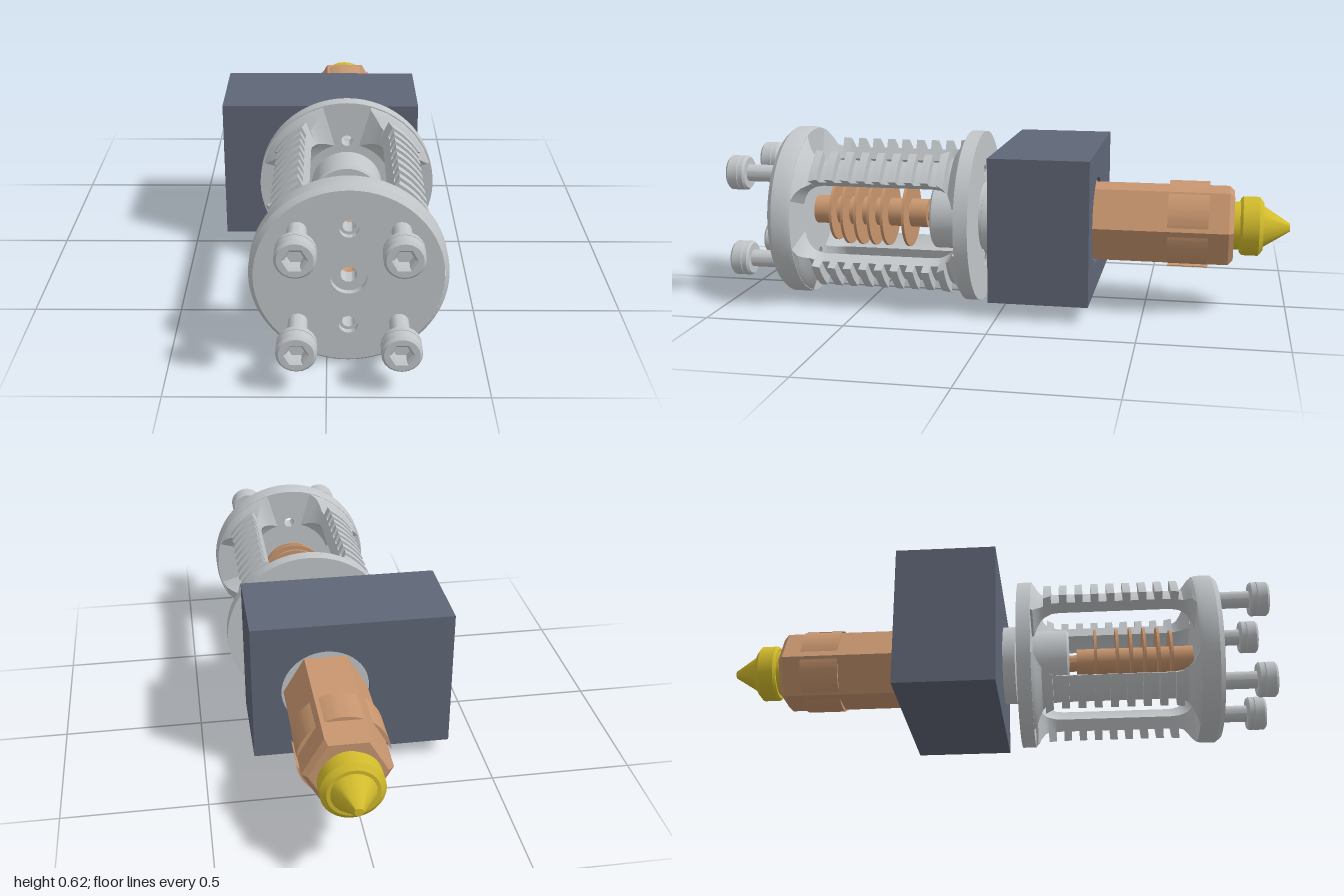
import * as THREE from 'three';
import { toCreasedNormals } from 'three/addons/utils/BufferGeometryUtils.js';

const paint = (name, color) => {
  const m = new THREE.MeshStandardMaterial({ color });
  m.name = name;
  return m;
};

export function createModel() {
  const silver = paint('silver', 0xc2c6c9);
  const slate = paint('slate', 0x5f6676);
  const copper = paint('copper', 0xc8966f);
  const brass = paint('brass', 0xd2bb2c);

  const model = new THREE.Group();
  model.name = 'hotend';
  // All turned parts share this axis along z
  const axis = new THREE.Group();
  axis.name = 'axialParts';
  axis.position.set(0.068, 0.313, 0);
  model.add(axis);

  const add = (name, geo, mat, parent = axis) => {
    const mesh = new THREE.Mesh(toCreasedNormals(geo, 0.55), mat);
    mesh.name = name;
    parent.add(mesh);
    return mesh;
  };
  // Turned part from [radius, z] points, running forward on the outside
  const turned = (name, pts, mat, sides = 48, parent = axis, start = 0) => {
    const geo = new THREE.LatheGeometry(pts.map(([r, z]) => new THREE.Vector2(r, z)), sides, start);
    return add(name, geo.rotateX(Math.PI / 2), mat, parent);
  };
  const circle = (r, x = 0, y = 0, type = THREE.Shape) => new type().absarc(x, y, r, 0, Math.PI * 2);
  // Round plate with [radius, y] holes
  const plate = (name, r, z0, z1, holes) => {
    const shape = circle(r);
    shape.holes = holes.map(([hr, y]) => circle(hr, 0, y, THREE.Path));
    const geo = new THREE.ExtrudeGeometry(shape, { depth: z1 - z0, bevelEnabled: false, curveSegments: 32 });
    return add(name, geo.translate(0, 0, z0), silver);
  };

  // Front plate with stepped holes and a chamfered rim
  plate('frontPlate', 0.295, 0.73, 0.795, [[0.026, 0], [0.02, 0.168], [0.02, -0.168]]);
  plate('frontPlateFace', 0.295, 0.795, 0.815, [[0.057, 0], [0.03, 0.168], [0.03, -0.168]]);
  turned('frontPlateRim', [[0.28, 0.73], [0.305, 0.73], [0.31, 0.745], [0.31, 0.797], [0.295, 0.815]], silver, 72);

  // Rear flange and the cup that holds the heat break
  plate('rearFlange', 0.31, 0.09, 0.14, [[0.026, 0], [0.02, 0.168], [0.02, -0.168]]);
  turned('rearCup', [[0.026, 0.1], [0.125, 0.1], [0.125, 0.265], [0.118, 0.272], [0.026, 0.272], [0.026, 0.1]], silver);
  turned('rearNeck', [[0.026, 0.03], [0.145, 0.03], [0.145, 0.075], [0.125, 0.08], [0.125, 0.095],
    [0.026, 0.095], [0.026, 0.03]], silver);

  // Four toothed posts, lofted along z; [z, outer radius] stations
  const stations = [[0.135, 0.31], [0.148, 0.3], [0.16, 0.28], [0.175, 0.262]];
  for (let k = 0; k < 9; k++) {
    const z = 0.2 + 0.0575 * k;
    stations.push([z - 0.014, 0.26], [z - 0.014, 0.295], [z + 0.014, 0.295], [z + 0.014, 0.26]);
  }
  stations.push([0.69, 0.262], [0.705, 0.278], [0.718, 0.295], [0.732, 0.305]);
  const postGeometry = () => {
    const n = 6, ring = 2 * n, pos = [], index = [];
    stations.forEach(([z, rOut], i) => {
      // Rounded window ends
      const d = THREE.MathUtils.clamp(Math.min(z - 0.155, 0.725 - z), 0, 0.08);
      const close = 0.08 - Math.sqrt(0.08 ** 2 - (0.08 - d) ** 2);
      const w = 0.125 - close;
      const rIn = 0.215 - 0.7 * close;
      const aOut = Math.asin((w + 0.035 * (rOut - 0.215) / 0.08) / rOut);
      const aIn = Math.asin(w / rIn);
      for (let j = 0; j < ring; j++) {
        const outer = j < n;
        const t = outer ? j / (n - 1) : 1 - (j - n) / (n - 1);
        const a = THREE.MathUtils.lerp(outer ? aOut : aIn, Math.PI / 2 - (outer ? aOut : aIn), t);
        const r = outer ? rOut : rIn;
        pos.push(r * Math.cos(a), r * Math.sin(a), z);
        if (i === 0) continue;
        const q = (j + 1) % ring, lo = (i - 1) * ring, hi = i * ring;
        index.push(lo + j, lo + q, hi + q, lo + j, hi + q, hi + j);
      }
    });
    const geo = new THREE.BufferGeometry();
    geo.setAttribute('position', new THREE.Float32BufferAttribute(pos, 3));
    geo.setIndex(index);
    return geo;
  };
  for (let k = 0; k < 4; k++) add('coolingPost', postGeometry(), silver).rotation.z = k * Math.PI / 2;

  // Heat break tube with thin fins
  turned('heatBreak', [[0.026, 0.265], [0.031, 0.265], [0.031, 0.3], [0.052, 0.3], [0.052, 0.735],
    [0.026, 0.735], [0.026, 0.265]], copper, 32);
  [0.37, 0.45, 0.5, 0.55, 0.6, 0.648].forEach((z, i) => {
    const r = i === 5 ? 0.112 : 0.125;
    turned('heatBreakFin', [[0.05, z - 0.005], [r, z - 0.005], [r, z + 0.005], [0.05, z + 0.005]], copper);
  });

  // Four socket-head screws
  for (const sx of [-1, 1]) for (const sy of [-1, 1]) {
    const screw = new THREE.Group();
    screw.name = 'screw';
    screw.position.set(sx * 0.158, sy * 0.16, 0);
    axis.add(screw);
    turned('screwShaft', [[0, 0.76], [0.031, 0.76], [0.031, 0.94], [0, 0.94]], silver, 20, screw);
    turned('screwHeadBase', [[0, 0.93], [0.056, 0.93], [0.0625, 0.937], [0.0625, 0.955], [0, 0.955]], silver, 20, screw);
    const head = circle(0.0545);
    const socket = new THREE.Path();
    for (let k = 0; k < 6; k++) {
      const a = k * Math.PI / 3;
      socket[k ? 'lineTo' : 'moveTo'](0.039 * Math.cos(a), 0.039 * Math.sin(a));
    }
    socket.closePath();
    head.holes.push(socket);
    const geo = new THREE.ExtrudeGeometry(head, {
      depth: 0.034, bevelThickness: 0.008, bevelSize: 0.008, bevelSegments: 1, curveSegments: 10,
    });
    add('screwHead', geo.translate(0, 0, 0.958), silver, screw);
  }

  // Heater block with a shallow round recess in its back
  const block = add('heaterBlock', new THREE.BoxGeometry(0.705, 0.51, 0.33), slate, model);
  block.position.set(-0.0275, 0.314, -0.135);
  const back = new THREE.Shape();
  back.moveTo(-0.38, 0.059).lineTo(0.325, 0.059).lineTo(0.325, 0.569).lineTo(-0.38, 0.569).closePath();
  back.holes.push(circle(0.155, 0.068, 0.313, THREE.Path));
  const backGeo = new THREE.ExtrudeGeometry(back, { depth: 0.022, bevelEnabled: false, curveSegments: 24 });
  add('heaterBlockBack', backGeo.translate(0, 0, -0.322), slate, model);
  turned('recessDisc', [[0, -0.312], [0.154, -0.312], [0.154, -0.302], [0, -0.302]], silver);

  // Hexagonal sleeve with rounded pads on its faces
  turned('hexSleeve', [[0, -0.807], [0.128, -0.807], [0.147, -0.79], [0.147, -0.305], [0, -0.305]],
    copper, 6, axis, Math.PI / 2);
  for (let k = 0; k < 6; k++) {
    const mid = (k + 0.5) * Math.PI / 3;
    const pad = new THREE.Shape().moveTo(0, 0).absarc(0, 0, 0.153, mid - 0.42, mid + 0.42).closePath();
    const geo = new THREE.ExtrudeGeometry(pad, { depth: 0.14, bevelEnabled: false, curveSegments: 8 });
    add('sleevePad', geo.translate(0, 0, -0.72), copper);
  }

  // Nozzle: collar, body and conical tip
  turned('nozzleCollar', [[0, -0.84], [0.085, -0.84], [0.085, -0.8], [0, -0.8]], brass);
  turned('nozzleBody', [[0, -0.908], [0.085, -0.908], [0.104, -0.893], [0.104, -0.837], [0.096, -0.828], [0, -0.828]], brass);
  turned('nozzleTip', [[0, -1], [0.014, -1], [0.078, -0.9], [0, -0.9]], brass);

  return model;
}
